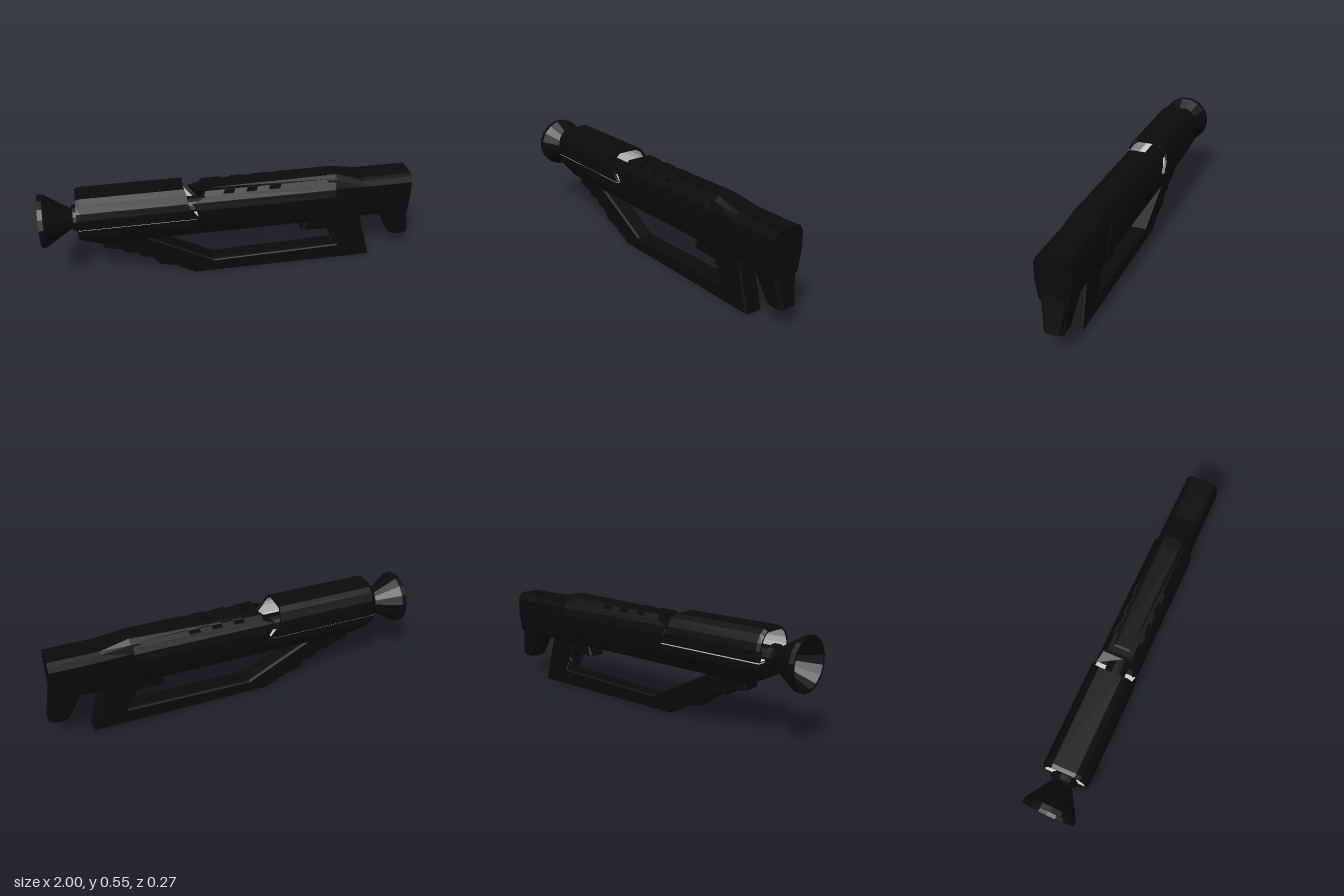
import * as THREE from 'three';

const material = (color) => new THREE.MeshStandardMaterial({ color, flatShading: true, side: THREE.DoubleSide });

// Skin a run of equal-length rings, optionally closing both ends
function loft(rings, caps = true) {
  const pos = [];
  const tri = (a, b, c) => pos.push(...a, ...b, ...c);
  const n = rings[0].length;
  for (let i = 0; i < rings.length - 1; i++) {
    for (let j = 0; j < n; j++) {
      const k = (j + 1) % n;
      const a = rings[i][j], b = rings[i][k], c = rings[i + 1][k], d = rings[i + 1][j];
      tri(a, b, c);
      tri(a, c, d);
    }
  }
  if (caps) {
    const first = rings[0], last = rings[rings.length - 1];
    for (let j = 1; j < n - 1; j++) {
      tri(first[0], first[j + 1], first[j]);
      tri(last[0], last[j], last[j + 1]);
    }
  }
  const g = new THREE.BufferGeometry();
  g.setAttribute('position', new THREE.Float32BufferAttribute(pos, 3));
  g.computeVertexNormals();
  return g;
}

// Mirror a half profile of [z, y] points, top to bottom; x is a number or one value per point
function ring(x, half) {
  const at = (i) => (Array.isArray(x) ? x[i] : x);
  const left = half.map(([z, y], i) => [at(i), y, z]);
  const right = half.map(([z, y], i) => [at(i), y, -z]).reverse();
  return [...left, ...right];
}

export function createModel() {
  const model = new THREE.Group();
  const dark = material(0x0a0a0a), pale = material(0xcccccc);
  const add = (name, geometry, mat = dark) => {
    const mesh = new THREE.Mesh(geometry, mat);
    mesh.name = name;
    model.add(mesh);
    return mesh;
  };

  // Flared muzzle and barrel, turned around the long axis
  const turned = [
    [0, 0.85], [0.045, 0.85], [0.125, 1], [0.137, 1], [0.137, 0.975], [0.052, 0.84],
    [0.068, 0.83], [0.068, 0.805], [0.055, 0.8], [0.055, 0.15],
  ].map(([r, h]) => new THREE.Vector2(r, h));
  const barrel = new THREE.LatheGeometry(turned, 16);
  barrel.rotateY(Math.PI / 16).rotateZ(Math.PI / 2).translate(0, 0.405, 0);
  add('muzzleAndBarrel', barrel);

  // Arched shroud over the barrel, with a pale lining
  const arch = [[0.062, 0.55], [0.09, 0.53], [0.112, 0.49], [0.12, 0.455], [0.12, 0.4]];
  const archFront = arch.map(([z, y]) => [z * 0.96, y > 0.5 ? y - 0.008 : y]);
  const lining = [[0.055, 0.535], [0.08, 0.518], [0.1, 0.485], [0.107, 0.455], [0.107, 0.404]];
  const cut = [-0.26, -0.252, -0.248, -0.235, -0.195];
  add('shroud', loft([
    ring(-0.81, lining), ring(-0.81, archFront), ring(-0.79, arch), ring(cut, arch), ring(cut, lining),
  ], false));
  add('shroudLining', loft([ring(-0.808, lining), ring(cut, lining)], false), pale);

  // Pale seam between shroud and fore body
  const seam = add('seam', new THREE.BoxGeometry(0.6, 0.016, 0.224), pale);
  seam.position.set(-0.505, 0.395, 0);

  // Lower body with a raked nose
  const lower = (w) => [[w, 0.392], [w, 0.355], [0.085, 0.29], [0.06, 0.27]];
  const nose = [[0.115, 0.392], [0.115, 0.37], [0.09, 0.335], [0.07, 0.32]];
  add('lowerBody', loft([
    ring(-0.81, nose), ring(-0.79, [[0.118, 0.392], [0.118, 0.36], [0.088, 0.32], [0.065, 0.305]]),
    ring(-0.7, lower(0.118)), ring(-0.25, lower(0.118)), ring(-0.17, lower(0.108)), ring(0.56, lower(0.1)),
  ]));

  // Receiver with a pointed front edge
  const receiver = [[0.08, 0.512], [0.1, 0.48], [0.11, 0.44], [0.11, 0.385]];
  add('receiver', loft([ring([-0.13, -0.225, -0.2, -0.165], receiver), ring(0.54, receiver)]));

  // Vented top: blocks with open gaps between them under a thin rail
  const block = [[0.068, 0.531], [0.083, 0.508]];
  for (const [a, b] of [[-0.15, -0.05], [0.005, 0.07], [0.125, 0.19], [0.25, 0.54]]) {
    add('ventBlock', loft([ring([a, a - 0.012], block), ring([b, b - 0.012], block)]));
  }
  add('topRail', loft([
    ring([-0.11, -0.15], [[0.04, 0.533], [0.062, 0.526]]),
    ring(0.54, [[0.048, 0.545], [0.07, 0.53]]),
  ]));

  // Rear body, sloping down behind the rail
  const hump = [[0.045, 0.545], [0.075, 0.525], [0.09, 0.48], [0.092, 0.39], [0.08, 0.29], [0.055, 0.27]];
  const tail = [[0.055, 0.514], [0.076, 0.505], [0.09, 0.475], [0.09, 0.39], [0.075, 0.285], [0.055, 0.27]];
  add('rearBody', loft([ring(0.5, hump), ring(0.55, hump), ring(0.7, tail), ring(0.965, tail)]));

  // Shoulder stock: chamfered rings stacked upward
  const slab = ([y, x0, x1, w]) => {
    const c = 0.018;
    return [
      [x1, y, -w + c], [x1 - c, y, -w], [x0 + c, y, -w], [x0, y, -w + c],
      [x0, y, w - c], [x0 + c, y, w], [x1 - c, y, w], [x1, y, w - c],
    ];
  };
  add('shoulderStock', loft([
    [0.117, 0.91, 0.985, 0.04], [0.13, 0.89, 1, 0.05], [0.27, 0.82, 0.972, 0.068], [0.31, 0.81, 0.965, 0.072],
  ].map(slab)));

  // Stepped fore grip, lower bar and toothed pistol grip in one frame
  const outline = [
    [-0.69, 0.28], [-0.69, 0.23], [-0.6, 0.21], [-0.575, 0.185], [-0.52, 0.18], [-0.49, 0.15],
    [-0.44, 0.14], [-0.405, 0.09], [-0.32, 0.07], [-0.21, 0.01], [0.775, 0.005], [0.7, 0.28],
    [0.41, 0.28], [0.38, 0.212], [0.54, 0.205], [0.54, 0.18], [0.56, 0.175], [0.55, 0.15],
    [0.575, 0.14], [0.57, 0.12], [0.59, 0.115], [0.585, 0.092], [-0.105, 0.08], [-0.48, 0.28],
  ];
  const frame = new THREE.ExtrudeGeometry(new THREE.Shape(outline.map(([x, y]) => new THREE.Vector2(x, y))), {
    depth: 0.074, bevelEnabled: true, bevelThickness: 0.012, bevelSize: 0.008, bevelOffset: -0.006, bevelSegments: 2,
  });
  frame.translate(0, 0, -0.037);
  add('gripFrame', frame);

  return model;
}
